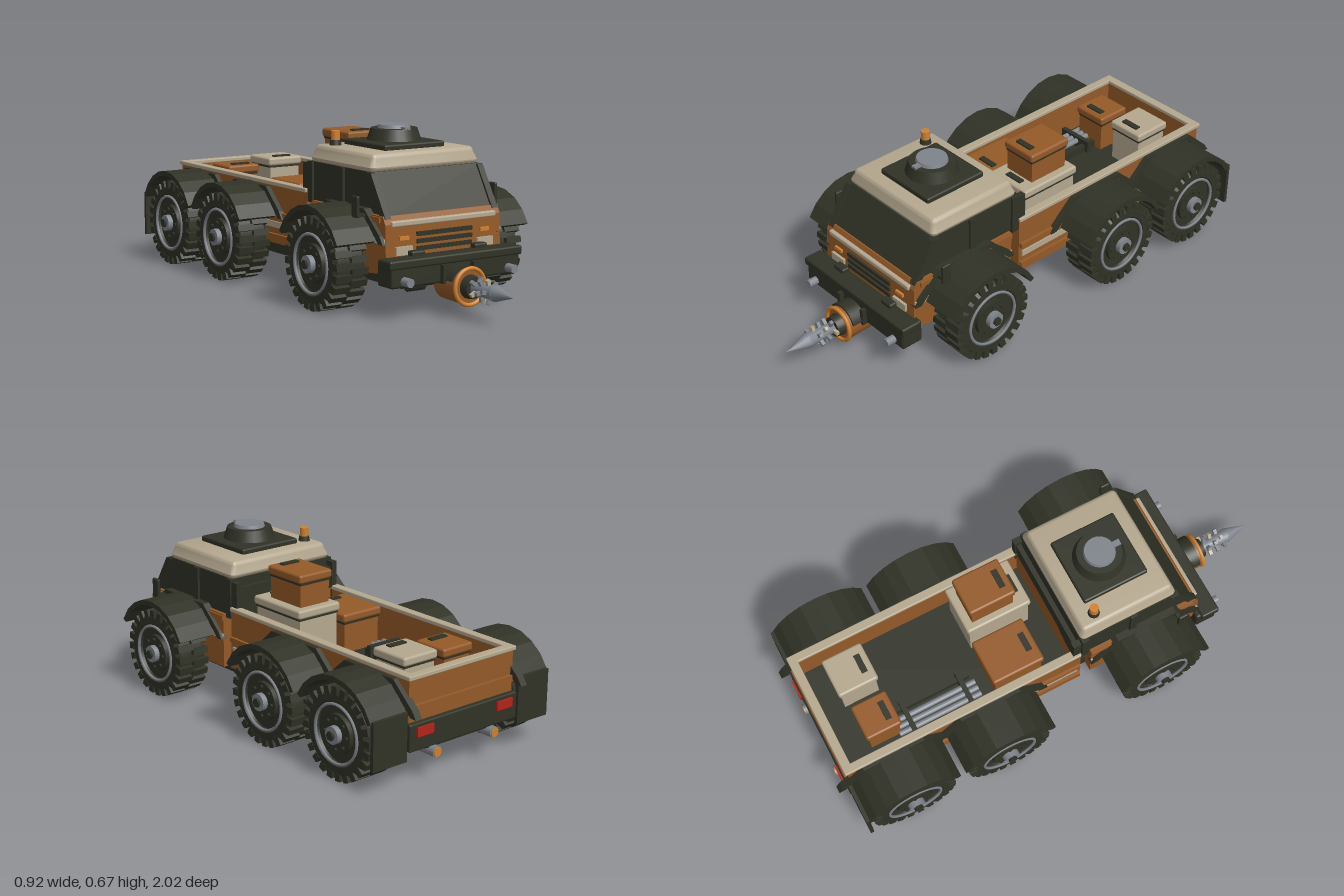
import * as THREE from 'three';
import { mergeGeometries, toCreasedNormals } from 'three/addons/utils/BufferGeometryUtils.js';
import { RoundedBoxGeometry } from 'three/addons/geometries/RoundedBoxGeometry.js';

const mat = (name, color) => Object.assign(new THREE.MeshStandardMaterial({ color }), { name });

export function createModel() {
  const dark = mat('charcoal', 0x303226);
  const rust = mat('rust brown', 0x955a28);
  const cream = mat('cream', 0xb5a88f);
  const steel = mat('steel', 0x7f848c);
  const orange = mat('orange', 0xd0812f);
  const red = mat('red', 0xb32316);
  const root = new THREE.Group();
  root.name = 'drillTruck';

  const add = (name, geo, m, x = 0, y = 0, z = 0, parent = root) => {
    const mesh = new THREE.Mesh(geo, m);
    mesh.name = name;
    mesh.position.set(x, y, z);
    parent.add(mesh);
    return mesh;
  };
  // box given by its limits, optionally with rounded edges
  const box = (name, m, x0, x1, y0, y1, z0, z1, r = 0, parent = root) => {
    const s = [x1 - x0, y1 - y0, z1 - z0];
    const g = r ? new RoundedBoxGeometry(...s, 2, r) : new THREE.BoxGeometry(...s);
    return add(name, g, m, (x0 + x1) / 2, (y0 + y1) / 2, (z0 + z1) / 2, parent);
  };
  // same box on both sides
  const pair = (name, m, x0, x1, ...rest) => {
    box(name + 'Left', m, x0, x1, ...rest);
    box(name + 'Right', m, -x1, -x0, ...rest);
  };
  const cylY = (r0, r1, h, n = 24) => new THREE.CylinderGeometry(r0, r1, h, n);
  const cylZ = (rFront, rBack, h, n = 24) => cylY(rFront, rBack, h, n).rotateX(Math.PI / 2);
  const cylX = (r, h, n = 24) => cylY(r, r, h, n).rotateZ(-Math.PI / 2);
  // side profile of [z, y] points, extruded across x and centred
  const profile = (pts, width) =>
    new THREE.ExtrudeGeometry(new THREE.Shape(pts.map(p => new THREE.Vector2(...p))), { depth: width, bevelEnabled: false })
      .rotateY(-Math.PI / 2).translate(width / 2, 0, 0);

  // chassis
  add('chassis', profile([[0.62, 0.13], [0.56, 0.09], [-0.9, 0.09], [-0.97, 0.12], [-0.97, 0.18], [0.62, 0.18]], 0.34), dark);
  box('chassisDeck', dark, -0.22, 0.22, 0.13, 0.2, -0.96, 0.6);

  // cab
  add('cabBody', profile([[0.57, 0.16], [0.595, 0.2], [0.59, 0.34], [0.575, 0.37], [0.1, 0.37], [0.1, 0.15], [0.5, 0.15]], 0.53), rust);
  add('cabGlass', profile([[0.575, 0.36], [0.48, 0.52], [0.06, 0.52], [0.06, 0.36]], 0.5), dark);
  for (const s of [-1, 1]) {
    add('windscreenPillar', profile([[0.585, 0.36], [0.49, 0.518], [0.455, 0.518], [0.55, 0.36]], 0.026), dark, s * 0.247);
    for (const z of [0.075, 0.29]) box('doorPillar', dark, s * 0.247 - 0.013, s * 0.247 + 0.013, 0.36, 0.52, z - 0.015, z + 0.015);
    box('doorSill', rust, s * 0.264 - 0.008, s * 0.264 + 0.008, 0.345, 0.365, 0.1, 0.56);
    // mirror
    box('mirror', dark, s * 0.32 - 0.007, s * 0.32 + 0.007, 0.36, 0.44, 0.46, 0.5, 0.005);
    box('mirrorArm', dark, s * 0.29 - 0.035, s * 0.29 + 0.035, 0.36, 0.372, 0.472, 0.486);
  }
  const roof = new RoundedBoxGeometry(0.5, 0.07, 0.42, 3, 0.02);
  const rp = roof.attributes.position;
  for (let i = 0; i < rp.count; i++) {
    const k = rp.getY(i) > 0 ? 0.95 : 1;
    rp.setX(i, rp.getX(i) * k);
    rp.setZ(i, rp.getZ(i) * k);
  }
  roof.computeVertexNormals();
  add('roof', toCreasedNormals(roof, 0.5), cream, 0, 0.55, 0.27);
  box('hatchPlate', dark, -0.14, 0.14, 0.58, 0.606, 0.13, 0.41, 0.008);
  add('hatchRing', cylY(0.09, 0.105, 0.045, 28), dark, 0, 0.63, 0.27);
  add('hatchCap', cylY(0.06, 0.066, 0.02, 24), steel, 0, 0.656, 0.27);
  box('hatchHandle', steel, -0.012, 0.012, 0.645, 0.66, 0.32, 0.36);
  add('beaconBase', cylY(0.02, 0.024, 0.022, 16), dark, -0.187, 0.594, 0.145);
  add('beacon', cylY(0.018, 0.018, 0.04, 16), orange, -0.187, 0.62, 0.145);

  // cab nose
  box('noseStrip', cream, -0.24, 0.24, 0.33, 0.352, 0.57, 0.6, 0.006);
  for (const y of [0.243, 0.27, 0.297]) box('grilleSlot', dark, -0.127, 0.127, y - 0.008, y + 0.008, 0.58, 0.6);
  pair('indicator', orange, 0.165, 0.206, 0.28, 0.294, 0.58, 0.601);
  pair('headlight', cream, 0.15, 0.224, 0.225, 0.257, 0.58, 0.604);
  pair('cabStripe', cream, 0.264, 0.27, 0.268, 0.288, 0.1, 0.59);

  // front bumper
  box('frontBumper', dark, -0.295, 0.295, 0.12, 0.215, 0.58, 0.675, 0.01);
  box('bumperTop', dark, -0.305, 0.305, 0.19, 0.224, 0.6, 0.68, 0.008);
  for (const s of [-1, 1]) {
    add('bumperLamp', cylZ(0.017, 0.017, 0.05, 12), steel, s * 0.24, 0.145, 0.69);
    box('towHook', dark, s * 0.145 - 0.03, s * 0.145 + 0.03, 0.215, 0.242, 0.6, 0.635, 0.008);
    box('drillBracket', dark, s * 0.07 - 0.008, s * 0.07 + 0.008, 0.12, 0.19, 0.67, 0.695);
    add('frontSkid', cylX(0.028, 0.07, 12), dark, s * 0.132, 0.112, 0.59);
  }

  // drill
  const drill = new THREE.Group();
  drill.name = 'drill';
  drill.position.y = 0.112;
  root.add(drill);
  add('drillCup', cylZ(0.07, 0.066, 0.13, 28), rust, 0, 0, 0.685, drill);
  add('drillShroud', new THREE.CylinderGeometry(0.077, 0.075, 0.06, 20, 1, false, Math.PI / 2 + 0.3, Math.PI - 0.6)
    .rotateX(Math.PI / 2), dark, 0, 0, 0.705, drill);
  add('drillRing', new THREE.TorusGeometry(0.068, 0.008, 8, 32), orange, 0, 0, 0.752, drill);
  add('drillCollar', cylZ(0.04, 0.046, 0.035, 20), dark, 0, 0, 0.765, drill);
  add('drillShaft', cylZ(0.03, 0.022, 0.13, 12), steel, 0, 0, 0.84, drill);
  add('drillTip', cylZ(0, 0.031, 0.1, 12), steel, 0, 0, 0.95, drill);
  for (let i = 0; i < 15; i++) {
    const a = i * 1.2, r = 0.033;
    const tooth = add('drillTooth', new THREE.BoxGeometry(0.026, 0.014, 0.014), i % 3 ? steel : cream,
      Math.cos(a) * r, Math.sin(a) * r, 0.79 + i * 0.0065, drill);
    tooth.rotation.z = a;
  }

  // cargo bed
  box('bedFloor', dark, -0.25, 0.25, 0.2, 0.25, -0.95, 0.04);
  pair('bedWall', rust, 0.235, 0.26, 0.16, 0.4, -0.965, 0.05);
  box('tailgate', rust, -0.26, 0.26, 0.16, 0.4, -0.965, -0.94);
  box('bedFront', rust, -0.26, 0.26, 0.16, 0.4, 0.03, 0.055);
  pair('bedRim', cream, 0.232, 0.268, 0.394, 0.411, -0.975, 0.055, 0.004);
  box('rearRim', cream, -0.268, 0.268, 0.394, 0.411, -0.975, -0.938, 0.004);
  pair('bedRidge', rust, 0.255, 0.272, 0.27, 0.29, -0.965, 0.05);
  pair('bedSill', rust, 0.22, 0.272, 0.165, 0.2, -0.965, 0.05);
  pair('bedStripe', cream, 0.258, 0.266, 0.225, 0.25, -0.95, 0.04);
  box('tailgateRidge', rust, -0.26, 0.26, 0.28, 0.3, -0.978, -0.95);
  box('headboard', dark, -0.257, 0.257, 0.36, 0.49, 0.03, 0.05);
  pair('headboardPost', dark, 0.232, 0.257, 0.36, 0.512, 0.022, 0.056);

  // rear end
  box('rearBumper', dark, -0.27, 0.27, 0.13, 0.235, -0.985, -0.94, 0.006);
  pair('tailLight', red, 0.16, 0.24, 0.185, 0.22, -0.993, -0.98);
  for (const s of [-1, 1]) {
    add('exhaust', cylZ(0.022, 0.022, 0.12, 16), steel, s * 0.145, 0.108, -0.936);
    add('exhaustMouth', cylZ(0.018, 0.018, 0.006, 16), orange, s * 0.145, 0.108, -0.997);
    box('mudFlap', dark, s * 0.36 - 0.08, s * 0.36 + 0.08, 0.1, 0.285, -0.982, -0.967);
  }

  // crates with overhanging lid and handle
  const crate = (name, m, x0, x1, z0, z1, y0, y1) => {
    const g = new THREE.Group(), lid = y1 - 0.035;
    g.name = name;
    root.add(g);
    box('crateBody', m, x0 + 0.01, x1 - 0.01, y0, lid, z0 + 0.01, z1 - 0.01, 0, g);
    box('crateLid', m, x0, x1, lid, y1, z0, z1, 0.01, g);
    box('crateSeam', dark, x0 + 0.007, x1 - 0.007, lid - 0.008, lid, z0 + 0.007, z1 - 0.007, 0, g);
    const c = (x0 + x1) / 2;
    box('crateHandle', dark, c - 0.04, c + 0.04, y1 - 0.01, y1 + 0.006, z1 - 0.05, z1 - 0.025, 0, g);
  };
  crate('wideCrate', rust, -0.21, -0.016, -0.305, -0.08, 0.25, 0.41);
  crate('baseCrate', cream, 0.005, 0.21, -0.305, -0.025, 0.25, 0.47);
  crate('topCrate', rust, 0.025, 0.185, -0.28, -0.08, 0.47, 0.6);
  crate('rearCreamCrate', cream, 0.02, 0.185, -0.86, -0.69, 0.25, 0.43);
  crate('rearRustCrate', rust, -0.18, -0.03, -0.84, -0.69, 0.25, 0.41);

  // pipe bundle
  for (const x of [-0.18, -0.153, -0.126]) add('cargoPipe', cylZ(0.012, 0.012, 0.36, 12), steel, x, 0.28, -0.53);
  for (const z of [-0.65, -0.4]) box('pipeStrap', dark, -0.215, -0.06, 0.25, 0.3, z - 0.01, z + 0.01);
  box('pipeRail', dark, -0.095, -0.075, 0.25, 0.28, -0.7, -0.36);

  // wheel geometry, axle along x with the outer face at +x
  const tyre = toCreasedNormals(new THREE.LatheGeometry([[0, -0.065], [0.148, -0.069], [0.164, -0.055], [0.164, 0.055],
    [0.148, 0.069], [0.122, 0.07], [0.112, 0.05], [0, 0.05]].map(p => new THREE.Vector2(...p)), 40).rotateZ(-Math.PI / 2), 0.5);
  const lugs = [];
  for (let i = 0; i < 24; i++) {
    for (const s of [-1, 1]) {
      lugs.push(new THREE.BoxGeometry(0.072, 0.03, 0.026).translate(s * 0.034, 0.163, 0)
        .rotateX((i + s * 0.25) * Math.PI / 12));
    }
  }
  const tread = mergeGeometries(lugs);
  const rim = new THREE.TorusGeometry(0.112, 0.006, 6, 40).rotateY(Math.PI / 2);
  const arch = (ro, ri, a0, n) => {
    const pts = [];
    for (let i = 0; i <= n; i++) pts.push([ro, a0 + (Math.PI - 2 * a0) * i / n]);
    for (let i = n; i >= 0; i--) pts.push([ri, a0 + (Math.PI - 2 * a0) * i / n]);
    return pts.map(([r, a]) => [r * Math.cos(a), r * Math.sin(a)]);
  };
  const fender = profile(arch(0.222, 0.202, 0.46, 8), 0.167);
  const wellTrim = profile([[0.25, 0.09], [0.23, 0.12], [0.13, 0.21], [-0.13, 0.21], [-0.23, 0.12], [-0.25, 0.09],
    [-0.222, 0.09], [-0.12, 0.19], [0.12, 0.19], [0.222, 0.09]], 0.03);

  // wheels, fenders and wheel-arch trim
  for (const z of [0.345, -0.353, -0.773]) {
    add('axle', cylX(0.03, 0.6, 12), dark, 0, 0.178, z);
    for (const s of [-1, 1]) {
      const wheel = new THREE.Group();
      wheel.name = 'wheel';
      wheel.position.set(s * 0.361, 0.178, z);
      if (s < 0) wheel.rotation.y = Math.PI;
      root.add(wheel);
      add('tyre', tyre, dark, 0, 0, 0, wheel);
      add('tread', tread, dark, 0, 0, 0, wheel);
      add('rimRing', rim, steel, 0.068, 0, 0, wheel);
      add('wheelDisc', cylX(0.075, 0.02), dark, 0.058, 0, 0, wheel);
      add('hub', cylX(0.034, 0.035, 16), steel, 0.072, 0, 0, wheel);
      add('hubCap', cylX(0.018, 0.02, 6), dark, 0.09, 0, 0, wheel);
      for (let i = 0; i < 8; i++) {
        const a = i * Math.PI / 4;
        add('wheelBolt', cylX(0.007, 0.012, 6), dark, 0.07, Math.cos(a) * 0.058, Math.sin(a) * 0.058, wheel);
      }
      add('fender', fender, dark, s * 0.3605, 0.178, z);
      add('wheelArchTrim', wellTrim, dark, s * 0.265, 0.178, z);
    }
  }
  return root;
}
